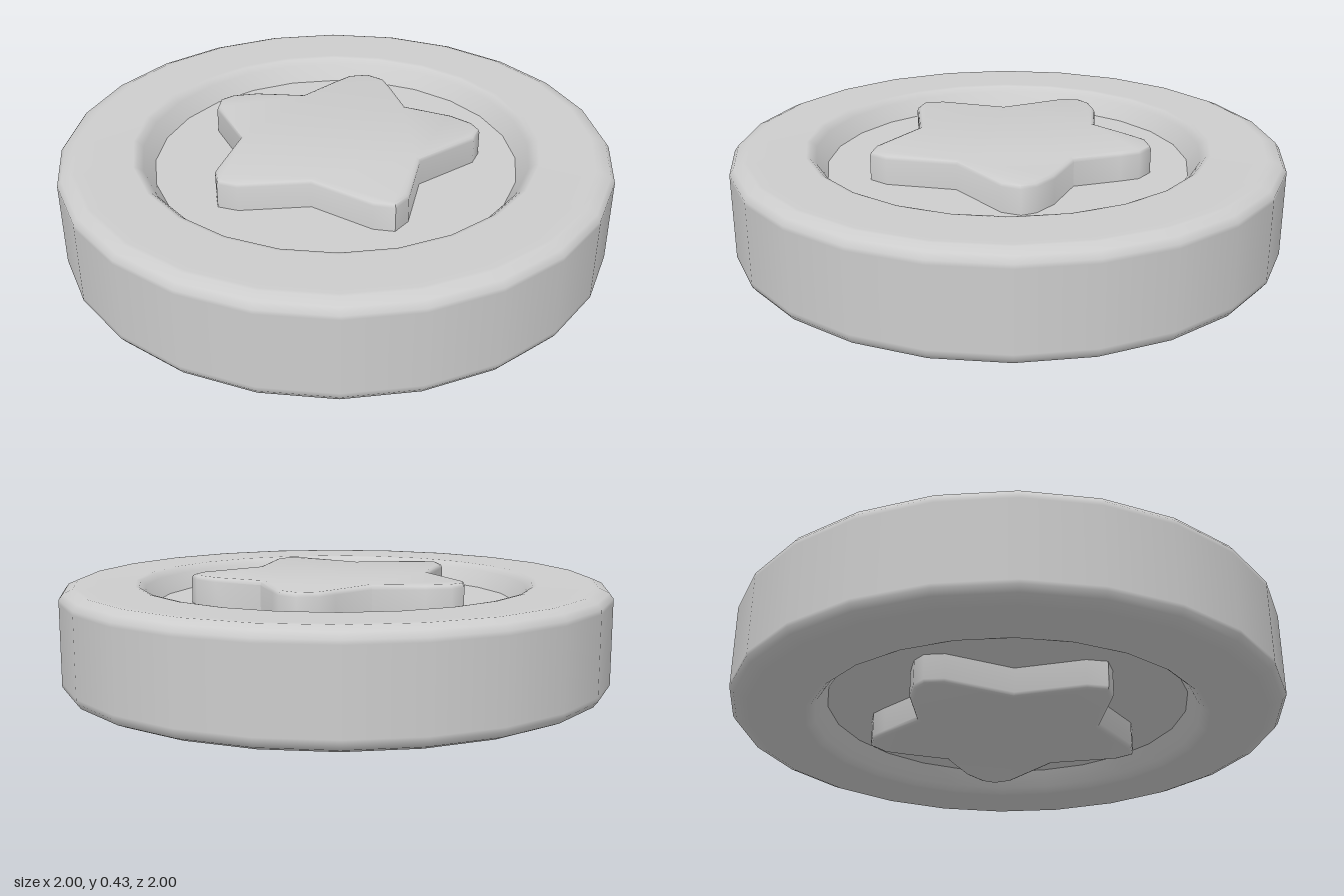
import * as THREE from 'three';
import { toCreasedNormals } from 'three/addons/utils/BufferGeometryUtils.js';

const MID = 0.215; // mid-height of the coin

export function createModel() {
  const coin = new THREE.Group();
  coin.name = 'starCoin';
  const metal = new THREE.MeshStandardMaterial({ color: 0xcccccc });
  metal.name = 'plainGrey';
  const add = (name, geometry) => {
    const mesh = new THREE.Mesh(geometry, metal);
    mesh.name = name;
    coin.add(mesh);
    return mesh;
  };

  // Rim: upper half profile mirrored downwards, with close loops that keep the flats flat
  const upper = [
    [1, 0.14], [1, 0.155], [0.985, 0.175], [0.95, 0.19], [0.935, 0.19],
    [0.735, 0.19], [0.72, 0.187], [0.7, 0.168], [0.66, 0.11],
  ];
  const lower = upper.map(([r, y]) => [r, -y]).reverse();
  const profile = [...lower, ...upper].map(([r, y]) => new THREE.Vector2(r, y + MID));
  add('rim', new THREE.LatheGeometry(profile, 24));

  // Sunken faces on both sides
  for (const side of [1, -1]) {
    const face = add(side > 0 ? 'topFace' : 'bottomFace', new THREE.CircleGeometry(0.66, 24));
    face.rotation.x = -side * Math.PI / 2;
    face.position.y = MID + side * 0.11;
  }

  // Star with blunt points, running through the coin; half outline mirrored in x
  const half = [
    [0.07, 0.495], [0.11, 0.435], [0.2, 0.285], [0.38, 0.255], [0.465, 0.215],
    [0.5, 0.17], [0.49, 0.1], [0.33, -0.1], [0.34, -0.35], [0.31, -0.42], [0.235, -0.425],
  ];
  const outline = [
    [0, 0.525], ...half, [0, -0.34],
    ...half.map(([x, y]) => [-x, y]).reverse(),
  ].map(([x, y]) => new THREE.Vector2(x, y)).reverse();
  const bevel = 0.015;
  const star = new THREE.ExtrudeGeometry(new THREE.Shape(outline), {
    depth: 0.43 - 2 * bevel, bevelEnabled: true, bevelThickness: bevel,
    bevelSize: bevel, bevelOffset: -bevel, bevelSegments: 2,
  });
  star.translate(0, 0, bevel);
  star.rotateX(-Math.PI / 2);
  add('star', toCreasedNormals(star, 0.9));

  return coin;
}
